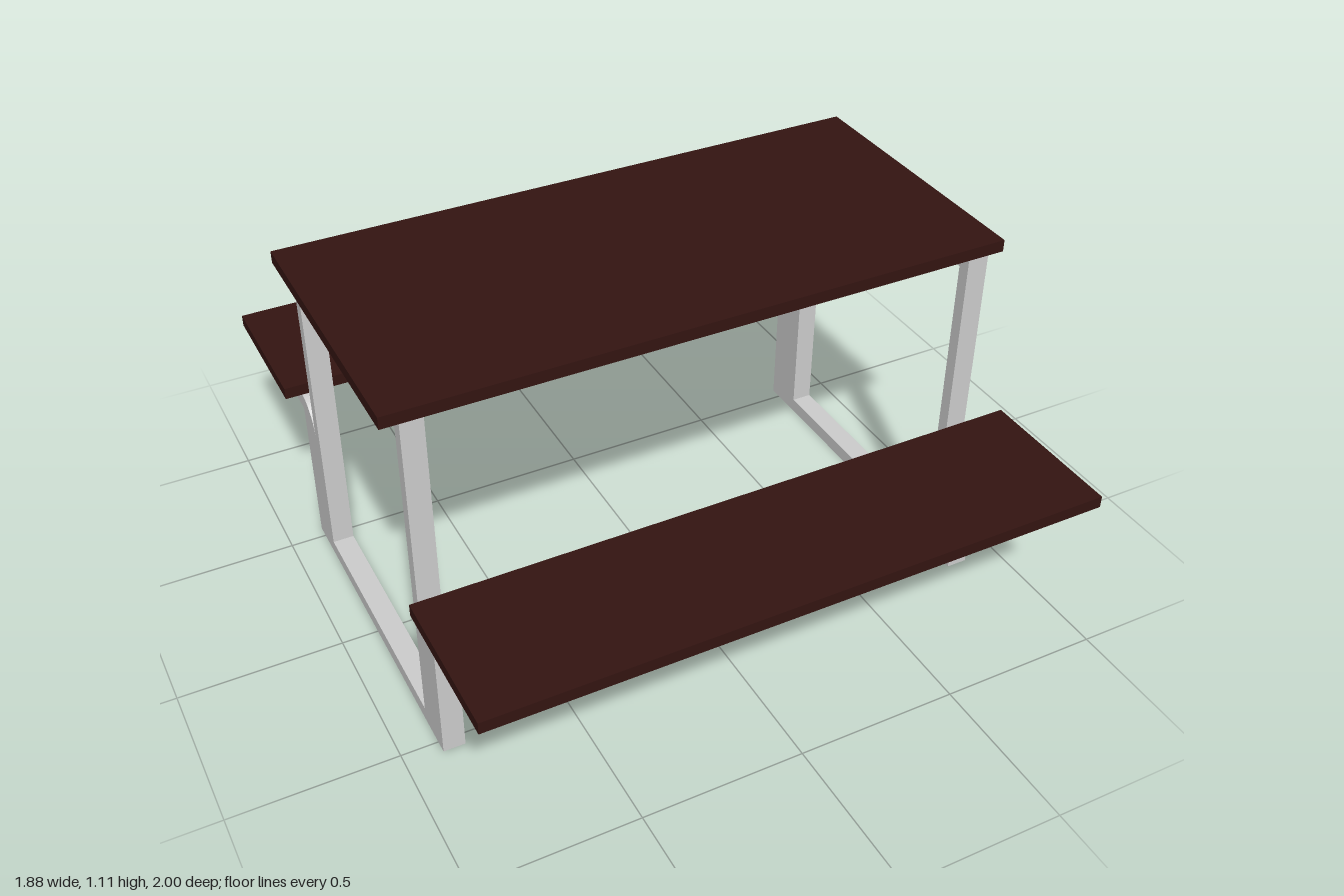
import * as THREE from 'three';

const metal = new THREE.MeshStandardMaterial({ color: 0xcccccc });
const wood = new THREE.MeshStandardMaterial({ color: 0x331411 });

// Horizontal board spanning the full length
function board(name, y, z, depth) {
  const mesh = new THREE.Mesh(new THREE.BoxGeometry(1.88, 0.037, depth), wood);
  mesh.name = name;
  mesh.position.set(0, y, z);
  return mesh;
}

// End frame: table loop, thick lower legs and bench arms cut from one profile (z, y)
function frameGeometry() {
  const s = new THREE.Shape();
  s.moveTo(-0.54, 0);
  s.lineTo(0.54, 0);
  s.lineTo(0.54, 0.485);
  s.lineTo(0.92, 0.485);
  s.lineTo(1, 0.537);
  s.lineTo(0.54, 0.537);
  s.absellipse(0.54, 0.432, 0.097, 0.105, Math.PI / 2, Math.PI, false);
  s.lineTo(0.443, 1.073);
  s.lineTo(-0.443, 1.073);
  s.lineTo(-0.443, 0.432);
  s.absellipse(-0.54, 0.432, 0.097, 0.105, 0, Math.PI / 2, false);
  s.lineTo(-1, 0.537);
  s.lineTo(-0.92, 0.485);
  s.lineTo(-0.54, 0.485);
  s.closePath();

  // Open middle of the table loop
  const hole = new THREE.Path();
  hole.moveTo(-0.404, 0.045);
  hole.lineTo(-0.404, 1.035);
  hole.lineTo(0.404, 1.035);
  hole.lineTo(0.404, 0.045);
  hole.closePath();
  s.holes.push(hole);

  const g = new THREE.ExtrudeGeometry(s, { depth: 0.066, bevelEnabled: false, curveSegments: 8 });
  g.translate(0, 0, -0.033);
  g.rotateY(-Math.PI / 2);
  return g;
}

export function createModel() {
  const group = new THREE.Group();
  group.name = 'picnicTable';
  group.add(board('tableTop', 1.0915, 0, 0.886));

  const geometry = frameGeometry();
  for (const side of [1, -1]) {
    group.add(board(side > 0 ? 'frontBench' : 'backBench', 0.5555, side * 0.769, 0.462));
    const frame = new THREE.Mesh(geometry, metal);
    frame.name = side > 0 ? 'leftFrame' : 'rightFrame';
    frame.position.x = side * 0.855;
    group.add(frame);
  }
  return group;
}
